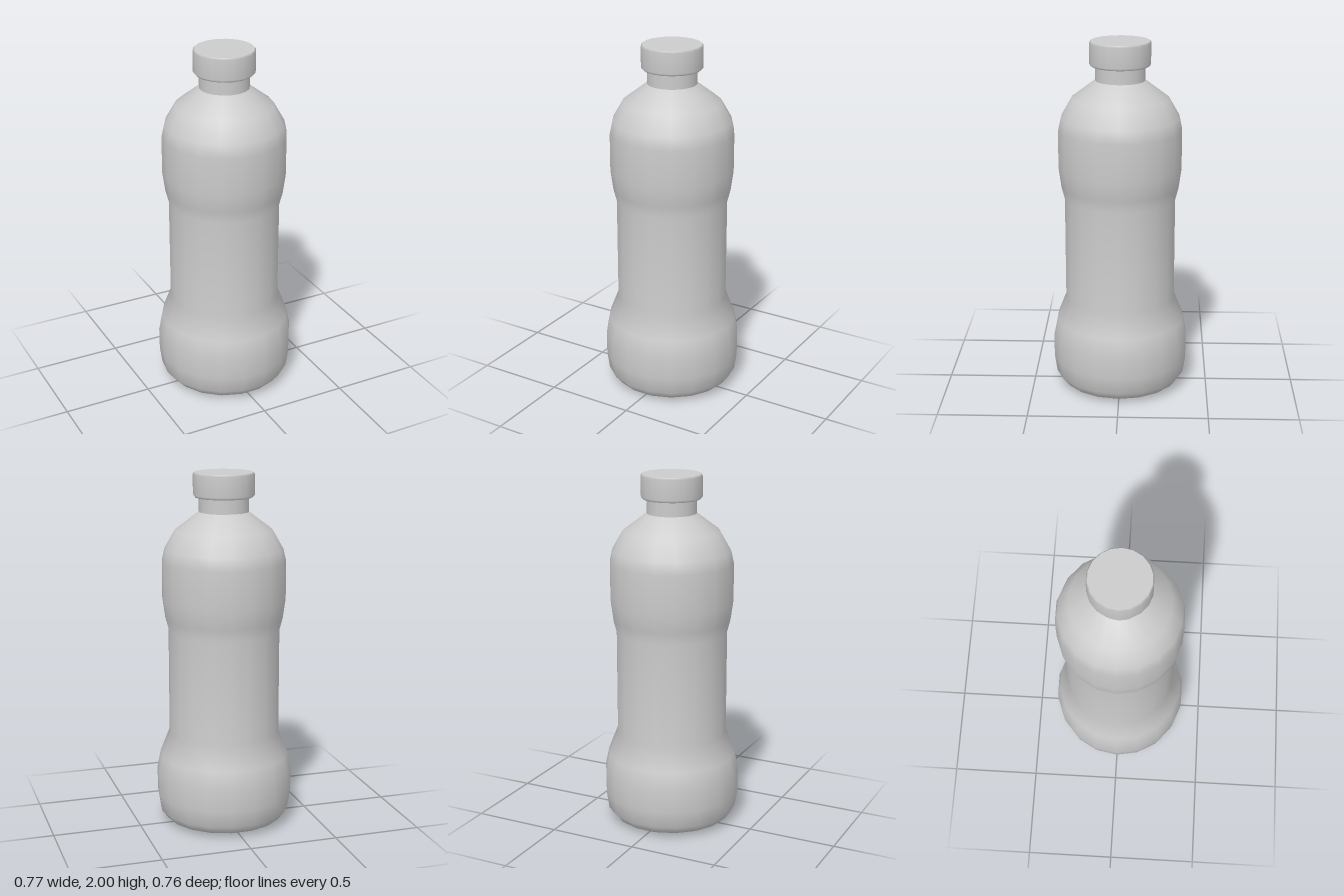
import * as THREE from 'three';

const SIDES = 18;
const material = new THREE.MeshStandardMaterial({ color: 0xcccccc });

// Turned part from [radius, height] pairs, listed from bottom to top
function turned(name, profile) {
  const points = profile.map(([r, y]) => new THREE.Vector2(r, y));
  const mesh = new THREE.Mesh(new THREE.LatheGeometry(points, SIDES, Math.PI / 2), material);
  mesh.name = name;
  return mesh;
}

export function createModel() {
  const bottle = new THREE.Group();
  bottle.name = 'bottle';

  // Flat underside
  bottle.add(turned('base', [[0, 0], [0.26, 0]]));

  // Body with a wide foot, narrow grip and rounded shoulder
  bottle.add(turned('body', [
    [0.26, 0], [0.333, 0.028], [0.37, 0.075], [0.384, 0.17], [0.385, 0.3],
    [0.365, 0.4], [0.312, 0.535], [0.312, 1.12], [0.33, 1.19], [0.345, 1.3],
    [0.345, 1.51], [0.33, 1.58], [0.27, 1.685], [0.138, 1.785],
  ]));

  // Straight neck
  bottle.add(turned('neck', [[0.138, 1.785], [0.138, 1.87]]));

  // Cap: flat underside, bevelled wall, flat lid
  const cap = new THREE.Group();
  cap.name = 'cap';
  cap.add(
    turned('capUnderside', [[0.13, 1.865], [0.16, 1.865]]),
    turned('capWall', [[0.16, 1.865], [0.17, 1.878], [0.17, 1.99], [0.163, 2]]),
    turned('capLid', [[0.163, 2], [0, 2]]),
  );
  bottle.add(cap);

  return bottle;
}
